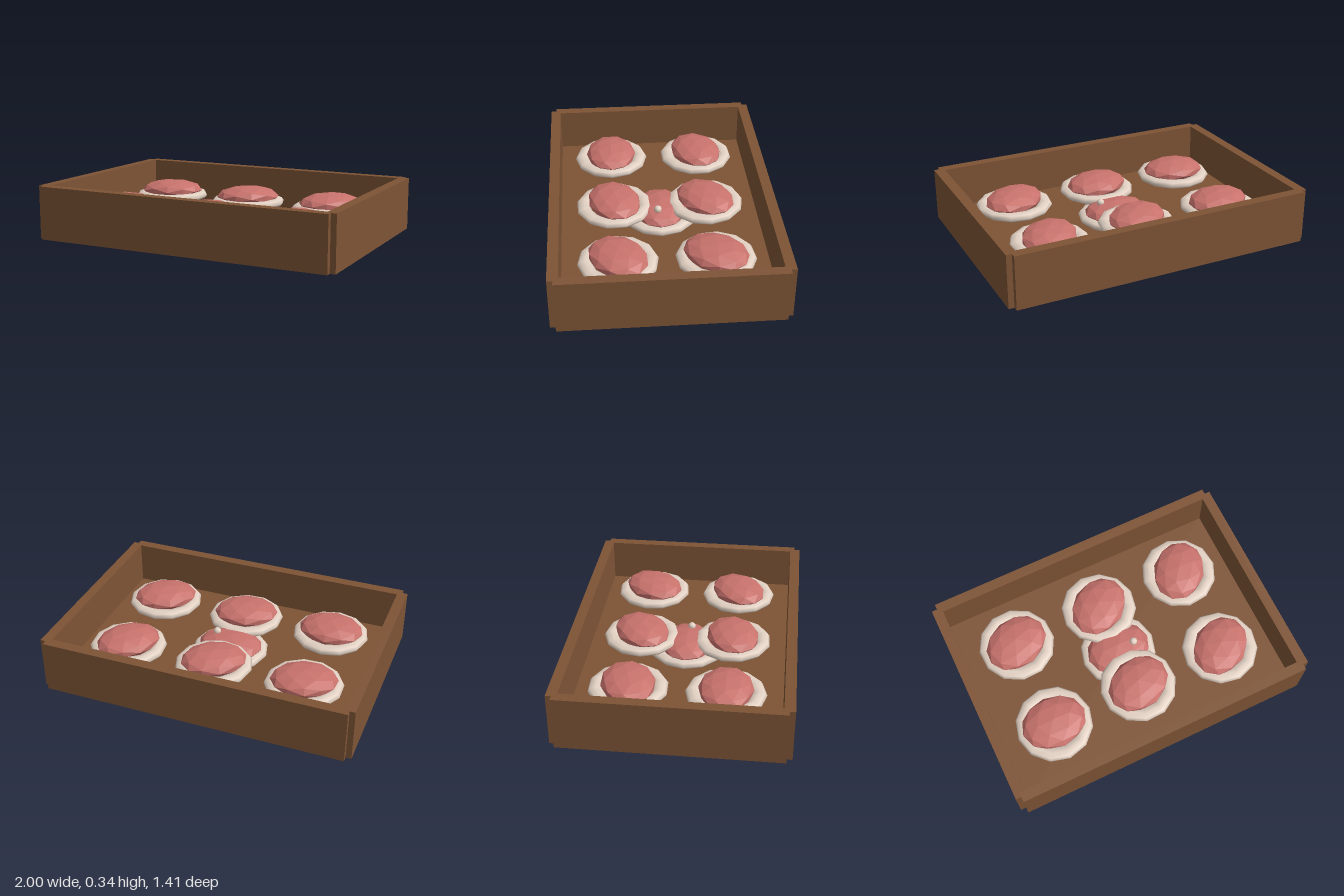
import * as THREE from 'three';

const wood = new THREE.MeshStandardMaterial({ color: 0x7e5436 });
wood.name = 'brown wood';
const cream = new THREE.MeshStandardMaterial({ color: 0xe2d1c3 });
cream.name = 'cream';
const pink = new THREE.MeshStandardMaterial({ color: 0xc8726c, flatShading: true });
pink.name = 'rose pink';

function addMesh(parent, name, geometry, material, x, y, z) {
  const mesh = new THREE.Mesh(geometry, material);
  mesh.name = name;
  mesh.position.set(x, y, z);
  parent.add(mesh);
  return mesh;
}

// Low-poly pebble resting in a flattened paper ring
function makeSweet(name, x, y, z, turn) {
  const sweet = new THREE.Group();
  sweet.name = name;
  const ring = new THREE.TorusGeometry(0.2, 0.046, 8, 12);
  ring.rotateX(Math.PI / 2);
  ring.scale(1, 0.6, 1);
  addMesh(sweet, 'ring', ring, cream, 0, 0, 0);
  const pebble = new THREE.IcosahedronGeometry(1, 1);
  pebble.scale(0.21, 0.068, 0.168);
  addMesh(sweet, 'filling', pebble, pink, 0, 0.035, 0);
  sweet.position.set(x, y, z);
  sweet.rotation.y = turn;
  return sweet;
}

export function createModel() {
  const model = new THREE.Group();
  model.name = 'trayOfSweets';

  // Open tray with small notches at the corners
  const height = 0.34;
  addMesh(model, 'floor', new THREE.BoxGeometry(1.93, 0.065, 1.34), wood, 0, 0.0325, 0);
  for (const s of [1, -1]) {
    addMesh(model, s > 0 ? 'frontWall' : 'backWall',
      new THREE.BoxGeometry(1.93, height, 0.065), wood, 0, height / 2, s * 0.6725);
    addMesh(model, s > 0 ? 'leftWall' : 'rightWall',
      new THREE.BoxGeometry(0.065, height, 1.34), wood, s * 0.9675, height / 2, 0);
  }

  // Two rows of three, each turned a little further
  for (let row = 0; row < 2; row++) {
    for (let col = 0; col < 3; col++) {
      const z = row === 0 ? 0.295 : -0.295;
      model.add(makeSweet('sweet', (col - 1) * 0.59, 0.165, z, (row + col) * 0.3));
    }
  }

  // Lower middle sweet with a bead on top
  const middle = makeSweet('middleSweet', 0, 0.092, 0, 0);
  addMesh(middle, 'bead', new THREE.SphereGeometry(0.025, 10, 8), cream, 0.1, 0.098, 0.02);
  model.add(middle);

  return model;
}
